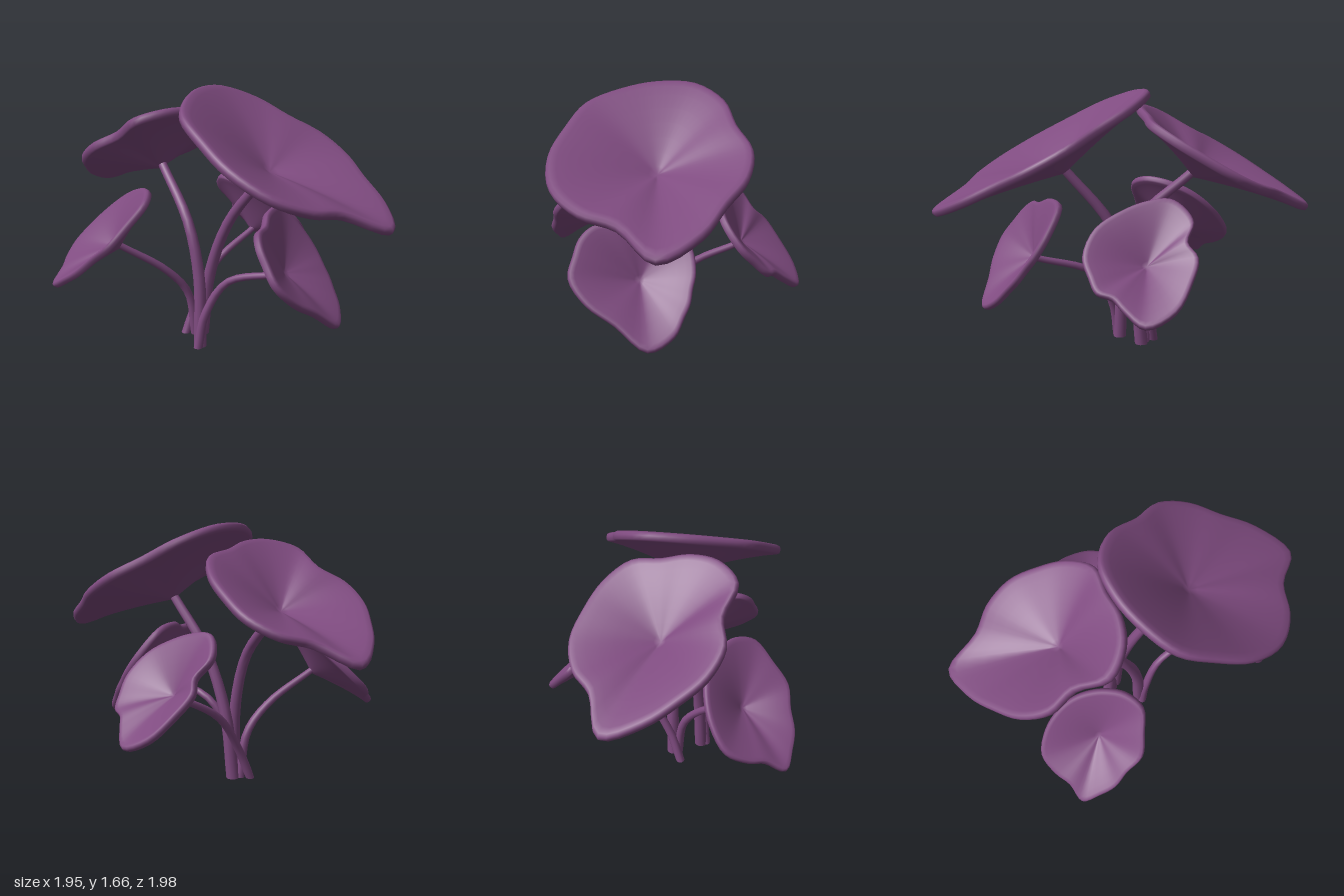
import * as THREE from 'three';
import { mergeVertices } from 'three/addons/utils/BufferGeometryUtils.js';

const V = (p) => new THREE.Vector3(...p);

// Outline of a leaf: radii at equal angles, laid onto the tilted rim plane along the axis left over
function leafRim(centre, normal, [a, b], radii) {
  const rest = ['x', 'y', 'z'].find((k) => k !== a && k !== b);
  const points = radii.map((r, i) => {
    const angle = (i / radii.length) * Math.PI * 2;
    const d = new THREE.Vector3();
    d[a] = r * Math.cos(angle);
    d[b] = r * Math.sin(angle);
    d[rest] = -(normal[a] * d[a] + normal[b] * d[b]) / normal[rest];
    return d.add(centre);
  });
  const count = radii.length * 4;
  return new THREE.CatmullRomCurve3(points, true, 'centripetal').getPoints(count).slice(0, count);
}

// Cupped leaf: the outline is scaled out over the top, round the rim and back underneath
function leafGeometry(centre, normal, rim, depth, half) {
  const cup = (t) => -depth * Math.pow(1 - t, 1.35);
  const steps = [0, 0.08, 0.2, 0.35, 0.5, 0.65, 0.8, 0.9, 0.96];
  const profile = [
    ...steps.map((t) => [t, cup(t) + half * (0.5 + 0.5 * t)]),
    [0.99, half * 0.6], [1, 0], [0.99, -half * 0.8],
    ...steps.map((t) => [t, cup(t) - half]).reverse(),
  ];
  const n = rim.length, positions = [], index = [];
  profile.forEach(([t, h], i) => {
    rim.forEach((p, j) => {
      positions.push(...centre.clone().lerp(p, t).addScaledVector(normal, h));
      if (i === profile.length - 1) return;
      const k = (j + 1) % n, r = i * n, s = r + n;
      index.push(r + j, r + k, s + k, r + j, s + k, s + j);
    });
  });
  const geometry = new THREE.BufferGeometry();
  geometry.setAttribute('position', new THREE.Float32BufferAttribute(positions, 3));
  geometry.setIndex(index);
  // weld the collapsed centre rings for smooth normals
  const welded = mergeVertices(geometry, 1e-5);
  welded.computeVertexNormals();
  return welded;
}

// Tapered stem: a tube whose rings shrink towards the leaf, cut flat at the ground
function stemGeometry(curve, radius) {
  const segments = 14, sides = 10;
  const geometry = new THREE.TubeGeometry(curve, segments, radius, sides);
  const pos = geometry.attributes.position, v = new THREE.Vector3();
  for (let i = 0; i < pos.count; i++) {
    const ring = Math.floor(i / (sides + 1));
    const middle = curve.getPointAt(ring / segments);
    v.fromBufferAttribute(pos, i).sub(middle).multiplyScalar(1 - (0.32 * ring) / segments).add(middle);
    pos.setXYZ(i, v.x, ring === 0 ? 0 : v.y, v.z);
  }
  return geometry;
}

export function createModel() {
  const group = new THREE.Group();
  const purple = new THREE.MeshStandardMaterial({ color: 0x7f4b80 });
  purple.name = 'purple leaf';

  // One leaf with its stem and the disc closing the stem at the ground
  function addLeaf(name, { centre, tilt, axes, radii, depth, half, stem, stemRadius }) {
    const plant = new THREE.Group();
    plant.name = name;
    const add = (part, geometry) => {
      const mesh = new THREE.Mesh(geometry, purple);
      mesh.name = part;
      plant.add(mesh);
      return mesh;
    };
    const c = V(centre), normal = V(tilt).normalize();
    add('leaf', leafGeometry(c, normal, leafRim(c, normal, axes, radii), depth, half));
    const path = stem.map(V);
    add('stem', stemGeometry(new THREE.CatmullRomCurve3(path), stemRadius));
    const foot = add('stemFoot', new THREE.CircleGeometry(stemRadius, 10));
    foot.rotation.x = Math.PI / 2;
    foot.position.copy(path[0]);
    group.add(plant);
  }

  const large = { depth: 0.17, half: 0.03, stemRadius: 0.043 };
  const small = { depth: 0.12, half: 0.024, stemRadius: 0.03 };

  addLeaf('largeFrontLeaf', {
    ...large, axes: 'xz', centre: [0.38, 1.32, 0.37], tilt: [0.36, 1, 0.41],
    radii: [0.54, 0.63, 0.72, 0.55, 0.59, 0.63, 0.62, 0.59, 0.61, 0.59, 0.6, 0.62, 0.58, 0.51, 0.55, 0.55],
    stem: [[0, 0, -0.07], [0.04, 0.42, -0.04], [0.14, 0.82, 0.08], [0.31, 1.16, 0.3]],
  });
  addLeaf('largeBackLeaf', {
    ...large, axes: 'xz', centre: [-0.26, 1.27, -0.42], tilt: [-0.2, 1, -0.53],
    radii: [0.49, 0.49, 0.43, 0.46, 0.5, 0.51, 0.4, 0.46, 0.48, 0.49, 0.55, 0.63, 0.47, 0.49, 0.5, 0.48],
    stem: [[-0.06, 0, 0.13], [-0.06, 0.45, 0.1], [-0.11, 0.8, 0.01], [-0.22, 1.13, -0.32]],
  });
  addLeaf('smallSideLeaf', {
    ...small, axes: 'xz', centre: [-0.66, 0.76, 0], tilt: [-1, 1, 0],
    radii: [0.28, 0.31, 0.34, 0.31, 0.31, 0.26, 0.27, 0.28, 0.32, 0.27, 0.3, 0.35, 0.33, 0.3, 0.28, 0.27],
    stem: [[-0.05, 0, -0.07], [-0.1, 0.3, -0.06], [-0.25, 0.48, -0.03], [-0.57, 0.69, 0]],
  });
  addLeaf('smallBackLeaf', {
    ...small, axes: 'zy', centre: [0.5, 0.72, -0.38], tilt: [1, 0.99, -0.51],
    radii: [0.33, 0.36, 0.33, 0.31, 0.3, 0.27, 0.25, 0.2, 0.27, 0.31, 0.37, 0.36, 0.26, 0.22, 0.25, 0.27],
    stem: [[-0.11, 0, -0.1], [-0.03, 0.2, -0.12], [0.12, 0.45, -0.2], [0.42, 0.64, -0.33]],
  });
  addLeaf('smallFrontLeaf', {
    ...small, axes: 'zy', centre: [0.45, 0.66, 0.56], tilt: [1.3, 1.15, 1],
    radii: [0.33, 0.28, 0.27, 0.27, 0.26, 0.33, 0.41, 0.32, 0.25, 0.21, 0.21, 0.23, 0.3, 0.39, 0.33, 0.34],
    stem: [[-0.08, 0, 0.16], [-0.04, 0.22, 0.17], [0.09, 0.46, 0.23], [0.37, 0.59, 0.5]],
  });
  return group;
}
